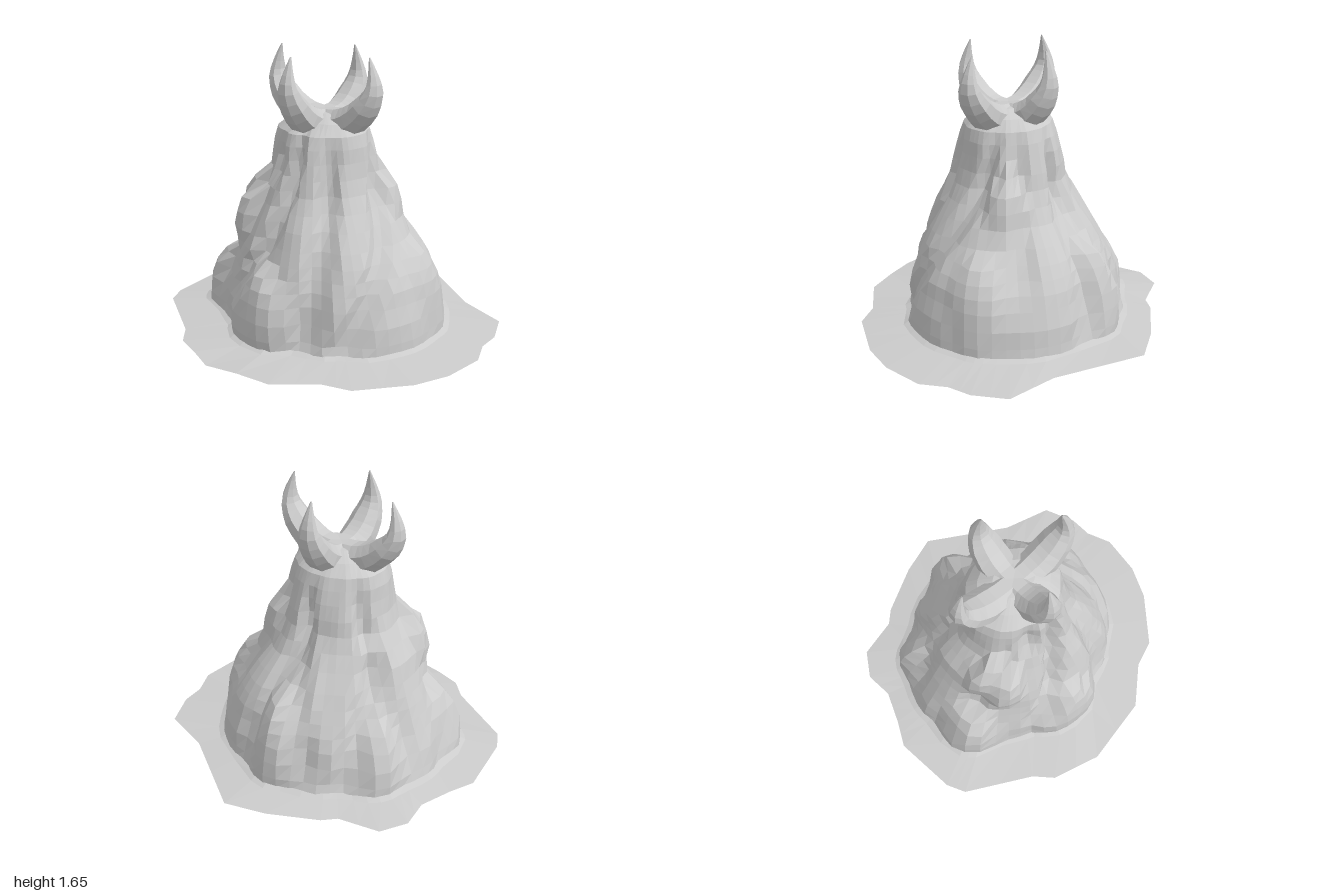
import * as THREE from 'three';

const RAD = Math.PI / 180;
const mat = new THREE.MeshStandardMaterial({ color: 0xcccccc, flatShading: true, side: THREE.DoubleSide });

// Skin a list of closed rings (arrays of Vector3, equal length)
function loft(rings) {
  const n = rings[0].length, idx = [];
  for (let j = 0; j < rings.length - 1; j++)
    for (let i = 0; i < n; i++) {
      const a = j * n + i, b = j * n + (i + 1) % n;
      idx.push(a, a + n, b, b, a + n, b + n);
    }
  const g = new THREE.BufferGeometry().setFromPoints(rings.flat());
  g.setIndex(idx);
  g.computeVertexNormals();
  return g;
}

function mesh(name, geometry) {
  const m = new THREE.Mesh(geometry, mat);
  m.name = name;
  return m;
}

// Silhouette of the mound: y, then extent towards +x, +z, -x, -z
const PROFILE = [
  [0.03, 0.69, 0.62, 0.77, 0.68], [0.2, 0.67, 0.59, 0.73, 0.65],
  [0.4, 0.61, 0.55, 0.63, 0.59], [0.55, 0.51, 0.51, 0.57, 0.49],
  [0.7, 0.42, 0.45, 0.52, 0.37], [0.85, 0.32, 0.38, 0.41, 0.29],
  [1.0, 0.28, 0.34, 0.36, 0.27], [1.2, 0.25, 0.31, 0.33, 0.21],
  [1.27, 0.19, 0.22, 0.24, 0.14], [1.31, 0.1, 0.14, 0.15, 0.06],
];

// Boulders: angle, half width (degrees), centre height, half height, radius
const BOULDERS = [
  [97, 32, 0.05, 0.47, 0.69], [157, 21, 0, 0.45, 0.82], [208, 21, 0, 0.46, 0.77],
  [268, 20, 0, 0.58, 0.71], [303, 15, 0.03, 0.43, 0.67], [343, 25, 0.12, 0.46, 0.7],
  [146, 28, 0.6, 0.3, 0.57], [203, 20, 0.62, 0.25, 0.5], [325, 25, 0.68, 0.3, 0.45],
];

// Slanting folds: angle at y = 0, angle at y = 1.2, half width, depth (negative = ridge), y range
const FOLDS = [
  [124, 76, 10, 0.08, 0.25, 1.3], [66, 40, 12, 0.05, 0, 1.25],
  [85, 62, 15, -0.03, 0.1, 1.25], [48, -25, 10, 0.05, 0, 1.25],
  [-35, -50, 11, 0.04, 0.3, 1.25], [-72, -95, 9, 0.04, 0, 1.2],
  [-118, -85, 10, 0.04, 0.1, 1.2], [-100, -110, 12, -0.03, 0.1, 0.9],
  [172, 130, 10, 0.04, 0.1, 1.1], [190, 215, 10, 0.04, 0.1, 1.25],
  [118, 116, 14, 0.06, 0.9, 1.3], [232, 190, 10, 0.05, 0, 0.95],
];

const centre = y => [-0.025 * y, 0.04 * y];
const angleGap = (a, b) => Math.abs(((a - b + 540) % 360 + 360) % 360 - 180);

function moundRadius(deg, y) {
  let k = 0;
  while (k < PROFILE.length - 2 && y > PROFILE[k + 1][0]) k++;
  const p = PROFILE[k], q = PROFILE[k + 1];
  const f = THREE.MathUtils.clamp((y - p[0]) / (q[0] - p[0]), 0, 1);
  const [cx, cz] = centre(y), c = Math.cos(deg * RAD), s = Math.sin(deg * RAD);
  const at = i => p[i] + (q[i] - p[i]) * f;
  const ex = c > 0 ? at(1) - cx : at(3) + cx;
  const ez = s > 0 ? at(2) - cz : at(4) + cz;
  let r = 1 / Math.hypot(c / ex, s / ez);
  const scale = Math.min(1, r / 0.35);
  // Boulders first, so that the folds cut through them as well
  for (const [a, w, y0, h, R] of BOULDERS) {
    const u = angleGap(deg, a) / w, v = (y - y0) / h, d = 1 - u * u - v * v;
    if (d > 0) r = Math.max(r, R * (0.72 + 0.28 * Math.sqrt(d)));
  }
  for (const [a0, a1, w, depth, lo, hi] of FOLDS) {
    if (y < lo || y > hi) continue;
    const d = angleGap(deg, a0 + (a1 - a0) * y / 1.2) / w;
    const fade = Math.min(1, (hi - y) / 0.25, 0.3 + (y - lo) / 0.2);
    if (d < 1) r -= depth * scale * (1 - d * d) * fade;
  }
  return r + 0.006 * scale * Math.sin(deg * RAD * 5 + y * 13) * Math.cos(deg * RAD * 9 - y * 5);
}

function ringPoint(deg, y, grow = 0) {
  const [cx, cz] = centre(y), r = moundRadius(deg, y) + grow;
  return new THREE.Vector3(cx + r * Math.cos(deg * RAD), y, cz + r * Math.sin(deg * RAD));
}

// Rocky body with a small cap under the horns
function buildMound() {
  const N = 54, rings = [];
  for (const y of [0.03, 0.1, 0.2, 0.3, 0.38, 0.45, 0.52, 0.6, 0.7, 0.79, 0.88, 0.97, 1.06, 1.14, 1.21, 1.27, 1.31])
    rings.push(Array.from({ length: N }, (_, i) => ringPoint(i * 360 / N, y)));
  rings.push(Array.from({ length: N }, () => new THREE.Vector3(-0.03, 1.32, 0.05)));
  return loft(rings);
}

// Thin irregular sheet of ground, open in the middle
function buildSkirt() {
  const outline = [
    [0.04, -0.95], [0.53, -0.66], [0.83, -0.58], [0.92, -0.39], [0.93, -0.25], [1, -0.1], [0.98, 0.15],
    [0.9, 0.35], [0.69, 0.62], [0.53, 0.68], [0.32, 0.87], [-0.1, 0.95], [-0.4, 0.87], [-0.5, 0.77],
    [-0.89, 0.56], [-0.95, 0.45], [-1, 0.07], [-0.93, -0.08], [-0.86, -0.27], [-0.88, -0.44],
    [-0.79, -0.59], [-0.55, -0.65], [-0.48, -0.72], [-0.2, -0.87],
  ];
  const outer = [], mid = [], inner = [];
  outline.forEach(([x, z], i) => {
    const [x2, z2] = outline[(i + 1) % outline.length];
    for (const t of [0, 0.5]) {
      const px = x + (x2 - x) * t, pz = z + (z2 - z) * t, deg = Math.atan2(pz, px) / RAD;
      outer.push(new THREE.Vector3(px, pz > 0.93 ? 0 : 0.015, pz));
      mid.push(ringPoint(deg, 0.036, 0.03));
      inner.push(ringPoint(deg, 0.055, -0.01));
    }
  });
  return loft([outer, mid, inner]);
}

// Horn growing from the middle of the crown, outwards (+x) and then up to a point
function buildHorn(reach) {
  const path = new THREE.CatmullRomCurve3(
    [[0, 1.23], [0.12, 1.25], [0.22, 1.29], [0.31, 1.37], [0.362, 1.46], [0.358, 1.55], [0.33, 1.65]]
      .map(([x, y]) => new THREE.Vector3(x * reach, y, 0)));
  const thick = [0.1, 0.09, 0.088, 0.074, 0.052, 0.03, 0.004];
  const wide = [0.1, 0.1, 0.105, 0.095, 0.066, 0.036, 0.004];
  const side = new THREE.Vector3(0, 0, 1), rings = [], steps = 12;
  for (let j = 0; j <= steps; j++) {
    const t = j / steps, k = Math.min(5, Math.floor(t * 6)), f = t * 6 - k;
    const p = path.getPoint(t), n = path.getTangent(t).cross(side);
    const a = THREE.MathUtils.lerp(thick[k], thick[k + 1], f), b = THREE.MathUtils.lerp(wide[k], wide[k + 1], f);
    rings.push(Array.from({ length: 8 }, (_, i) => {
      const th = (i + 0.5) * Math.PI / 4;
      return p.clone().addScaledVector(n, a * Math.cos(th)).addScaledVector(side, b * Math.sin(th));
    }));
  }
  return loft(rings);
}

export function createModel() {
  const model = new THREE.Group();
  model.name = 'hornedRockMound';
  model.add(mesh('mound', buildMound()), mesh('groundSkirt', buildSkirt()));
  // Crown of four horns
  [['leftHorn', 0, 1], ['backHorn', 90, 0.78], ['rightHorn', 180, 1.04], ['frontHorn', 270, 0.82]]
    .forEach(([name, turn, reach]) => {
      const horn = mesh(name, buildHorn(reach));
      horn.position.set(-0.03, 0, 0.045);
      horn.rotation.y = turn * RAD;
      model.add(horn);
    });
  return model;
}
